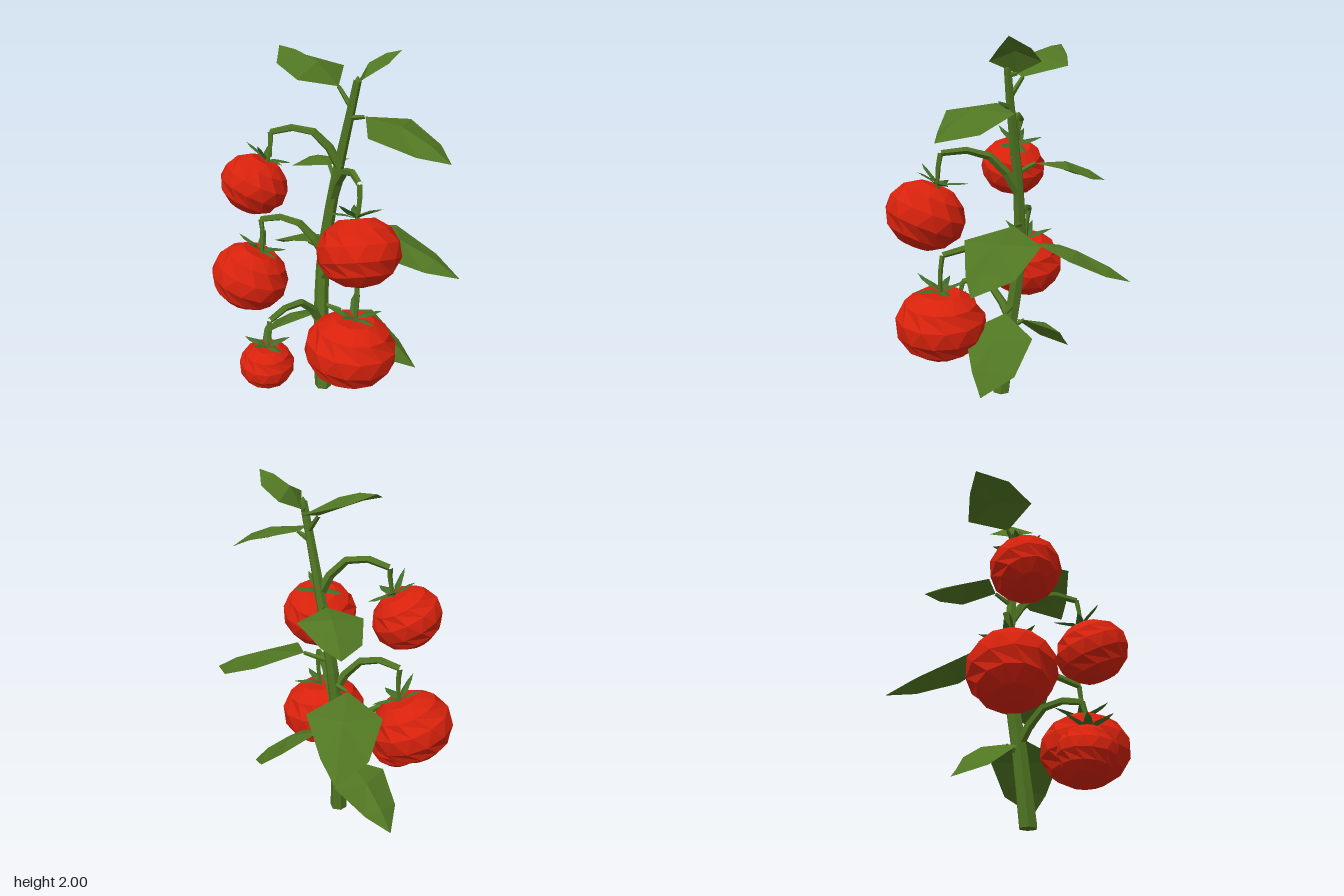
import * as THREE from 'three';

const V = (a) => new THREE.Vector3(...a);
const UP = new THREE.Vector3(0, 1, 0);

function makeMaterial(name, color, side = THREE.FrontSide) {
  const m = new THREE.MeshStandardMaterial({ color, side });
  m.name = name;
  return m;
}

// Separate the faces so every facet is flat
function facetedMesh(geometry, material, name) {
  const g = geometry.index ? geometry.toNonIndexed() : geometry;
  g.computeVertexNormals();
  const mesh = new THREE.Mesh(g, material);
  mesh.name = name;
  return mesh;
}

// Tapered tube through the points, from radius r0 to r1
function limb(points, r0, r1, sides, segments, material, name) {
  const curve = new THREE.CatmullRomCurve3(points.map(V));
  const g = new THREE.TubeGeometry(curve, segments, 1, sides);
  const p = g.attributes.position;
  const v = new THREE.Vector3();
  for (let i = 0; i < p.count; i++) {
    const t = Math.floor(i / (sides + 1)) / segments;
    const c = curve.getPointAt(t);
    v.fromBufferAttribute(p, i).sub(c).multiplyScalar(r0 + (r1 - r0) * t).add(c);
    p.setXYZ(i, v.x, v.y, v.z);
  }
  return facetedMesh(g, material, name);
}

// Pointed blade with a raised midrib, one full edge and one straight edge
function blade(base, tip, width, lift, droop, material, name) {
  const along = tip.clone().sub(base);
  const side = along.clone().cross(UP).normalize();
  const normal = side.clone().cross(along).normalize();
  const at = (t, w, h) => base.clone().addScaledVector(along, t)
    .addScaledVector(side, w * width).addScaledVector(normal, h);
  const rib = [base, at(0.4, 0, lift), at(0.75, 0, lift * 0.7), tip];
  const verts = [];
  for (const s of [-1, 1]) {
    const a = at(0.29, s, lift - droop);
    const b = at(0.72, s < 0 ? -0.75 : 0.47, lift * 0.6 - droop);
    const tris = [[rib[0], a, rib[1]], [rib[1], a, b], [rib[1], b, rib[2]], [rib[2], b, rib[3]]];
    for (const [p, q, r] of tris) {
      for (const v of s < 0 ? [p, r, q] : [p, q, r]) verts.push(v.x, v.y, v.z);
    }
  }
  const g = new THREE.BufferGeometry();
  g.setAttribute('position', new THREE.Float32BufferAttribute(verts, 3));
  return facetedMesh(g, material, name);
}

// Squat faceted fruit: rings twisted by half a step, dimpled at the top
function fruitGeometry(radius, height) {
  const around = 12, rings = 7;
  const g = new THREE.SphereGeometry(1, around, rings);
  const p = g.attributes.position;
  for (let i = 0; i < p.count; i++) {
    const ring = Math.floor(i / (around + 1));
    const angle = ((i % (around + 1)) + (ring % 2) / 2) / around * Math.PI * 2;
    const polar = ring / rings * Math.PI;
    const r = Math.sin(polar) * radius * 1.03;
    const y = ring === 0 ? 0.86 : Math.cos(polar) * 1.03;
    p.setXYZ(i, -Math.cos(angle) * r, y * height, Math.sin(angle) * r);
  }
  return g;
}

export function createModel() {
  const model = new THREE.Group();
  model.name = 'tomatoPlant';
  const stemGreen = makeMaterial('stemGreen', 0x507622);
  const leafGreen = makeMaterial('leafGreen', 0x507622, THREE.DoubleSide);
  const sepalGreen = makeMaterial('sepalGreen', 0x416d28, THREE.DoubleSide);
  const tomatoRed = makeMaterial('tomatoRed', 0xd8220c);

  // Main stem with closed ends
  const stemPoints = [
    [-0.025, 0.01, 0.008], [-0.06, 0.4, -0.025], [-0.082, 0.75, -0.07],
    [-0.03, 1.2, -0.1], [0.06, 1.62, -0.11], [0.105, 1.84, -0.12],
  ];
  model.add(limb(stemPoints, 0.05, 0.021, 6, 10, stemGreen, 'stem'));
  const foot = facetedMesh(new THREE.CylinderGeometry(0.049, 0.049, 0.02, 6), stemGreen, 'stemFoot');
  foot.position.set(-0.025, 0.01, 0.008);
  const crown = facetedMesh(new THREE.ConeGeometry(0.021, 0.03, 6), stemGreen, 'stemTip');
  crown.position.set(0.106, 1.85, -0.12);
  model.add(foot, crown);

  // Leaves: stem joint, blade base, blade tip, half width
  const leaves = [
    [[0.075, 1.69, -0.115], [-0.02, 1.79, -0.13], [-0.41, 1.96, -0.13], 0.21],
    [[0.1, 1.8, -0.12], [0.075, 1.81, -0.16], [0.285, 1.995, -0.25], 0.135],
    [[0.07, 1.64, -0.11], [0.17, 1.665, -0.1], [0.675, 1.505, -0.1], 0.21],
    [[-0.02, 1.28, -0.1], [-0.1, 1.33, -0.16], [-0.45, 1.215, -0.4], 0.17],
    [[-0.07, 0.99, -0.09], [0.085, 1.015, -0.15], [0.67, 0.79, -0.3], 0.21],
    [[-0.08, 0.86, -0.08], [-0.2, 0.86, -0.1], [-0.545, 0.62, -0.535], 0.2],
    [[-0.065, 0.52, -0.04], [0.05, 0.505, -0.07], [0.475, 0.195, -0.21], 0.19],
    [[-0.06, 0.38, -0.025], [-0.15, 0.41, -0.06], [-0.555, 0.145, -0.125], 0.17],
  ];
  for (const [joint, base, tip, width] of leaves) {
    const leaf = new THREE.Group();
    leaf.name = 'leaf';
    leaf.add(limb([joint, base], 0.016, 0.011, 5, 1, stemGreen, 'leafStalk'));
    leaf.add(blade(V(base), V(tip), width, 0.05, 0.04, leafGreen, 'leafBlade'));
    model.add(leaf);
  }

  // Fruit: truss path, top of fruit, fruit centre, radius, half height
  const fruits = [
    [[[0.01, 1.36, -0.1], [-0.05, 1.49, -0.06], [-0.15, 1.575, 0], [-0.32, 1.54, 0.075]],
      [-0.32, 1.41, 0.105], [-0.37, 1.26, 0.165], 0.185, 0.155],
    [[[-0.08, 0.82, -0.08], [-0.15, 0.96, -0.03], [-0.25, 1.035, 0.015], [-0.41, 1.01, 0.075]],
      [-0.4, 0.84, 0.09], [-0.455, 0.66, 0.135], 0.222, 0.185],
    [[[-0.065, 0.42, -0.03], [-0.085, 0.56, 0.08], [-0.1, 0.615, 0.18], [-0.13, 0.575, 0.36]],
      [-0.13, 0.43, 0.39], [-0.14, 0.31, 0.385], 0.15, 0.125],
    [[[-0.03, 1.17, -0.1], [0.06, 1.33, -0.04], [0.16, 1.41, 0.03], [0.31, 1.405, 0.16]],
      [0.31, 1.23, 0.185], [0.357, 1.075, 0.23], 0.213, 0.178],
    [[[-0.08, 0.67, -0.065], [0.02, 0.81, -0.02], [0.125, 0.885, 0.04], [0.305, 0.855, 0.165]],
      [0.305, 0.655, 0.18], [0.29, 0.465, 0.195], 0.245, 0.195],
  ];
  for (const [path, top, centre, radius, height] of fruits) {
    const end = path[path.length - 1];
    const mid = [(end[0] + top[0]) / 2 + 0.01, (end[1] + top[1]) / 2, (end[2] + top[2]) / 2];
    model.add(limb(path, 0.028, 0.017, 5, 4, stemGreen, 'truss'));
    const sunk = [top[0], top[1] - 0.03, top[2]];
    model.add(limb([end, mid, sunk], 0.015, 0.011, 5, 3, stemGreen, 'fruitStalk'));

    const tomato = new THREE.Group();
    tomato.name = 'tomato';
    tomato.position.copy(V(centre));
    tomato.quaternion.setFromUnitVectors(UP, V(top).sub(V(centre)).normalize());
    tomato.add(facetedMesh(fruitGeometry(radius, height), tomatoRed, 'fruit'));

    // Star of sepals with lifted tips
    const size = 0.085 + radius * 0.3;
    for (let i = 0; i < 5; i++) {
      const a = (i / 5) * Math.PI * 2 + 0.3;
      const ray = (r, y) => new THREE.Vector3(Math.cos(a) * r, y, Math.sin(a) * r);
      const y0 = height * 0.95;
      tomato.add(blade(ray(0.005, y0), ray(size, y0 + 0.035 + (i % 2) * 0.035),
        0.025, 0.012, 0.008, sepalGreen, 'sepal'));
    }
    model.add(tomato);
  }
  return model;
}
